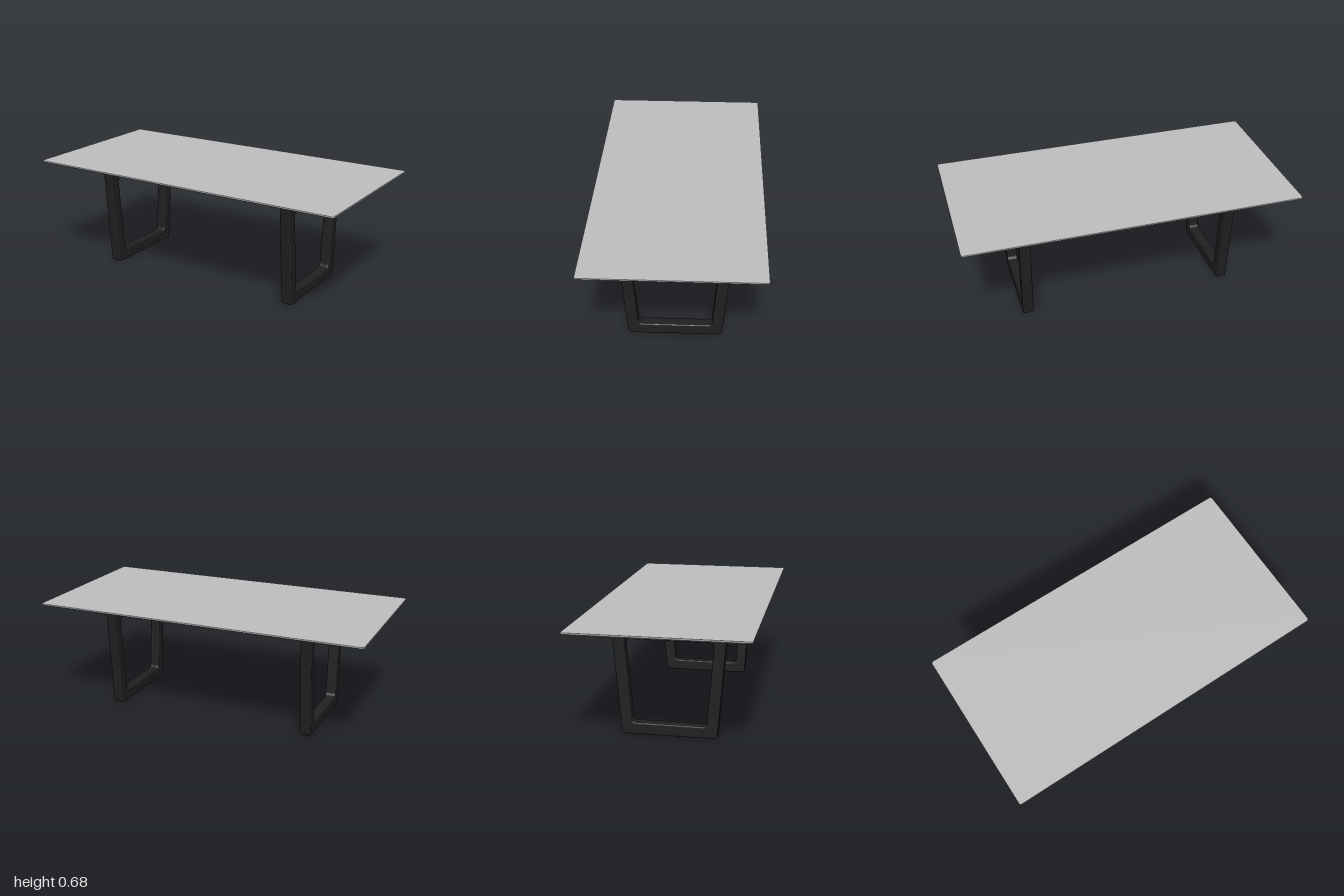
import * as THREE from 'three';

const topGray = new THREE.MeshStandardMaterial({ name: 'table top gray', color: 0xc0c0c0 });
const frameBlack = new THREE.MeshStandardMaterial({ name: 'frame black', color: 0x202020 });

function addMesh(parent, name, geometry, material, x = 0, y = 0, z = 0) {
  const mesh = new THREE.Mesh(geometry, material);
  mesh.name = name;
  mesh.position.set(x, y, z);
  parent.add(mesh);
  return mesh;
}

// Closed polygon with each corner softened by the given radius
function roundPolygon(path, corners, radius) {
  const pts = corners.map(([x, y]) => new THREE.Vector2(x, y));
  const toward = (a, b) => b.clone().sub(a).setLength(radius).add(a);
  pts.forEach((p, i) => {
    const start = toward(p, pts[(i + pts.length - 1) % pts.length]);
    const end = toward(p, pts[(i + 1) % pts.length]);
    if (i === 0) path.moveTo(start.x, start.y);
    else path.lineTo(start.x, start.y);
    path.quadraticCurveTo(p.x, p.y, end.x, end.y);
  });
  path.closePath();
  return path;
}

const rectangle = (hx, hz, radius) =>
  roundPolygon(new THREE.Shape(), [[-hx, -hz], [hx, -hz], [hx, hz], [-hx, hz]], radius);

// Walls stacked from rounded rectangles, listed top down as [inset, y]
function steppedRim(levels, radius) {
  const rings = levels.map(([inset, y]) => rectangle(1 - inset, 0.5 - inset, radius)
    .getPoints(4).slice(0, -1).map(p => [p.x, y, -p.y]));
  const positions = [];
  for (let k = 0; k < rings.length - 1; k++) {
    const upper = rings[k], lower = rings[k + 1], n = upper.length;
    for (let i = 0; i < n; i++) {
      const j = (i + 1) % n;
      positions.push(...upper[i], ...lower[i], ...lower[j], ...upper[i], ...lower[j], ...upper[j]);
    }
  }
  const geometry = new THREE.BufferGeometry();
  geometry.setAttribute('position', new THREE.Float32BufferAttribute(positions, 3));
  geometry.computeVertexNormals();
  return geometry;
}

// Trapezoid loop leg with softened edges
function legGeometry() {
  const width = 0.064, bevel = 0.007;
  const shape = roundPolygon(new THREE.Shape(),
    [[-0.272, 0.005], [0.272, 0.005], [0.323, 0.622], [-0.323, 0.622]], 0.016);
  shape.holes.push(roundPolygon(new THREE.Path(),
    [[-0.212, 0.072], [-0.253, 0.56], [0.253, 0.56], [0.212, 0.072]], 0.024));
  const geometry = new THREE.ExtrudeGeometry(shape, {
    depth: width - 2 * bevel, bevelThickness: bevel, bevelSize: bevel,
    bevelOffset: -bevel, bevelSegments: 3, curveSegments: 6,
  });
  geometry.translate(0, 0, bevel - width / 2);
  return geometry.rotateY(Math.PI / 2);
}

export function createModel() {
  const model = new THREE.Group();
  model.name = 'table';

  // Table top: thin edge, bevel, then a recessed second layer
  const top = new THREE.Group();
  top.name = 'tableTop';
  model.add(top);
  const levels = [[0, 0.675], [0, 0.667], [0.03, 0.653], [0.08, 0.653], [0.112, 0.64]];
  addMesh(top, 'topRim', steppedRim(levels, 0.014), topGray);
  addMesh(top, 'topSurface',
    new THREE.ShapeGeometry(rectangle(1, 0.5, 0.014), 4).rotateX(-Math.PI / 2), topGray, 0, 0.675);
  addMesh(top, 'underPanel',
    new THREE.ShapeGeometry(rectangle(0.888, 0.388, 0.014), 4).rotateX(Math.PI / 2), frameBlack, 0, 0.64);

  // Two leg frames with mounting spacers and floor glides
  const leg = legGeometry();
  const spacer = new THREE.BoxGeometry(0.027, 0.024, 0.011);
  const glide = new THREE.CylinderGeometry(0.007, 0.007, 0.008, 12);
  for (const side of [-1, 1]) {
    const frame = new THREE.Group();
    frame.name = side > 0 ? 'leftLeg' : 'rightLeg';
    frame.position.x = side * 0.624;
    model.add(frame);
    addMesh(frame, 'legFrame', leg, frameBlack);
    for (const z of [-0.273, 0, 0.273]) addMesh(frame, 'spacer', spacer, frameBlack, 0, 0.63, z);
    for (const z of [-0.25, 0.25]) addMesh(frame, 'floorGlide', glide, frameBlack, 0, 0.004, z);
  }
  return model;
}
